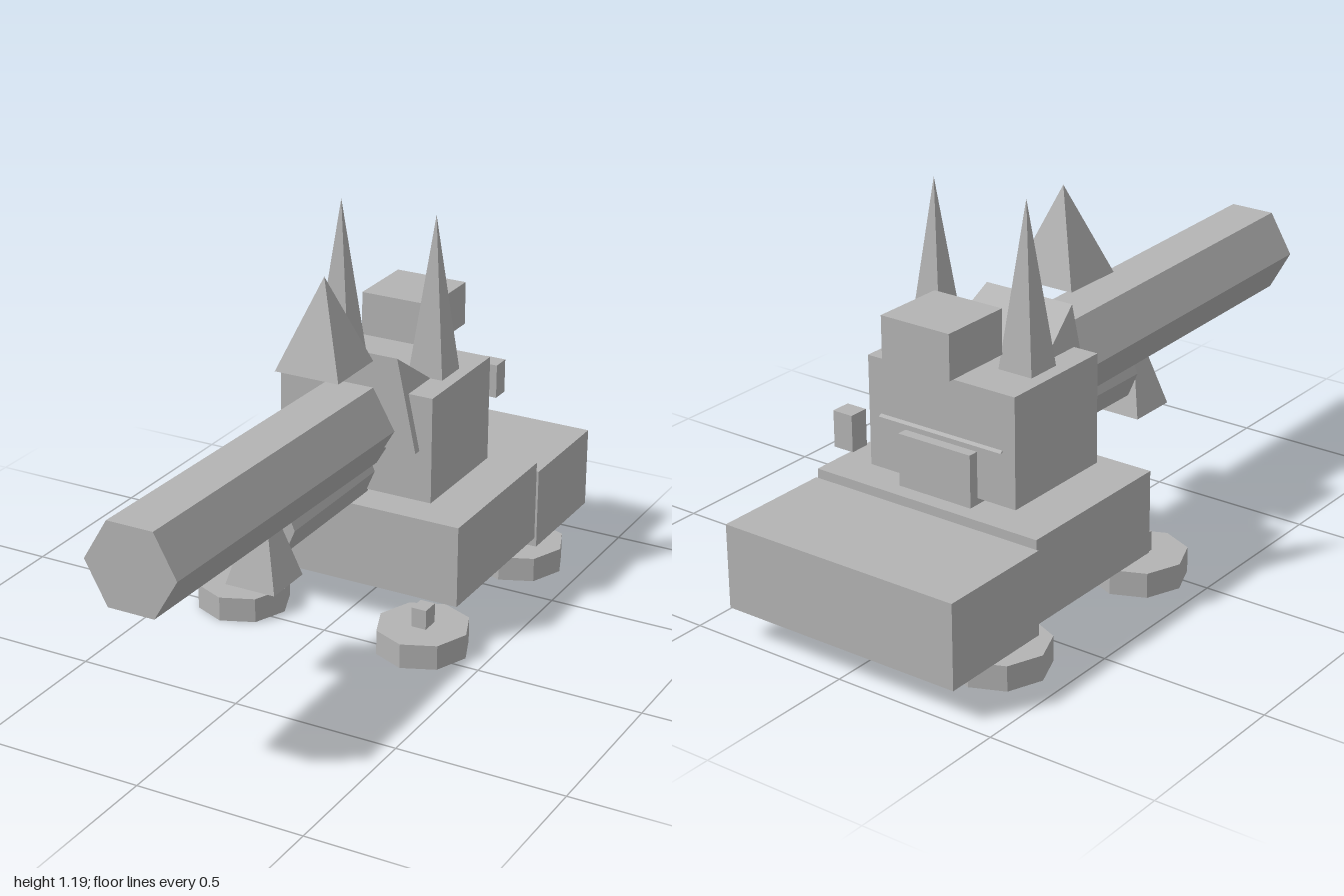
import * as THREE from 'three';
import { ConvexGeometry } from 'three/addons/geometries/ConvexGeometry.js';

export function createModel() {
  const model = new THREE.Group();
  const grey = new THREE.MeshStandardMaterial({ color: 0xb4b4b4, flatShading: true });
  grey.name = 'plain grey';

  const add = (name, geometry, x = 0, y = 0, z = 0) => {
    const mesh = new THREE.Mesh(geometry, grey);
    mesh.name = name;
    mesh.position.set(x, y, z);
    model.add(mesh);
    return mesh;
  };
  // Box given by its extents on each axis
  const box = (name, x0, x1, y0, y1, z0, z1) =>
    add(name, new THREE.BoxGeometry(x1 - x0, y1 - y0, z1 - z0),
      (x0 + x1) / 2, (y0 + y1) / 2, (z0 + z1) / 2);
  // Square pyramid aligned with the axes
  const pyramid = (name, half, x, y0, y1, z) =>
    add(name, new THREE.ConeGeometry(half * Math.SQRT2, y1 - y0, 4).rotateY(Math.PI / 4),
      x, (y0 + y1) / 2, z);
  // Six-sided bar along z with corners at the sides
  const hexBar = (radius, length) =>
    new THREE.CylinderGeometry(radius, radius, length, 6).rotateY(Math.PI / 6).rotateX(Math.PI / 2);

  // Hull
  box('hull', -0.376, 0.374, 0.12, 0.37, -0.636, -0.11);
  box('rearDeck', -0.383, 0.381, 0.093, 0.342, -1, -0.636);

  // Wheels and their upright hubs
  for (const side of [1, -1]) {
    for (const [end, z] of [['front', -0.047], ['rear', -0.691]]) {
      const x = side * 0.299;
      add(end + 'Wheel', new THREE.CylinderGeometry(0.138, 0.138, 0.075, 8), x, 0.0375, z)
        .scale.z = 1.04;
      box(end + 'Hub', x - 0.023, x + 0.023, 0.03, 0.135, z - 0.028, z + 0.028);
    }
  }

  // Turret
  box('turret', -0.249, 0.247, 0.389, 0.714, -0.557, -0.185);
  box('turretRearPlate', -0.122, 0.122, 0.37, 0.525, -0.588, -0.455);
  box('hatch', -0.114, 0.113, 0.76, 0.892, -0.657, -0.432);
  box('rearLamp', 0.142, 0.205, 0.525, 0.63, -0.753, -0.695);

  // Wedge shield around the gun, running back through the turret
  const corners = [];
  for (const s of [1, -1]) {
    corners.push(
      new THREE.Vector3(s * 0.208, 0.545, -0.16),
      new THREE.Vector3(s * 0.208, 0.545, -0.566),
      new THREE.Vector3(s * 0.146, 0.825, -0.16));
  }
  add('gunShield', new ConvexGeometry(corners));

  // Gun barrel, tilted slightly up, with a smaller bar beneath
  add('barrel', hexBar(0.14, 1.345), 0, 0.611, 0.325).rotation.x = -0.021;
  add('lowerBar', hexBar(0.064, 0.48), 0, 0.45, 0.04).scale.y = 1.36;

  // Spikes
  pyramid('rightEar', 0.056, -0.154, 0.705, 1.19, -0.375);
  pyramid('leftEar', 0.056, 0.154, 0.705, 1.19, -0.375);
  pyramid('topSpike', 0.101, 0, 0.83, 1.095, 0);
  pyramid('lowerSpike', 0.078, 0, 0.314, 0.6, 0.34);

  return model;
}
